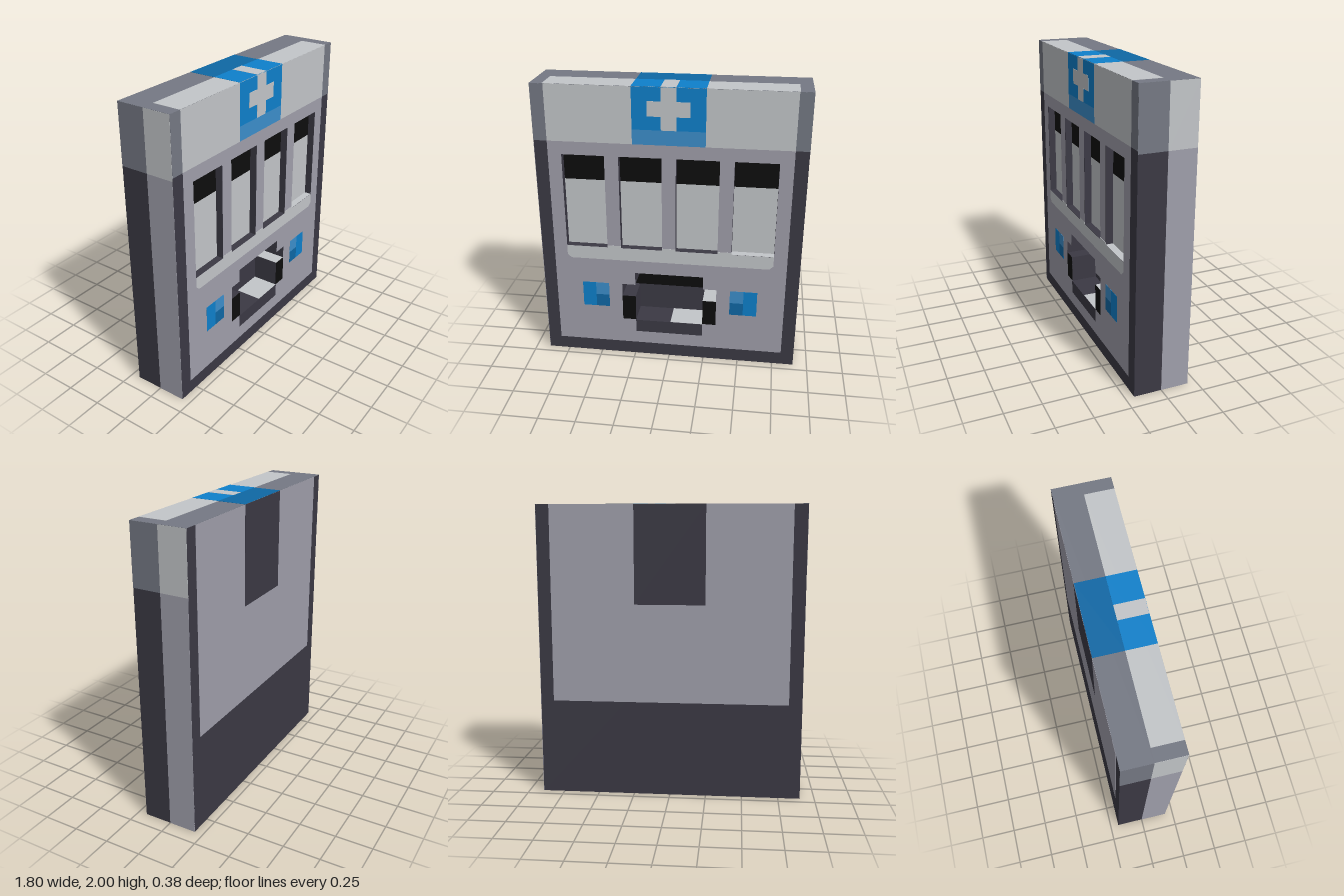
import * as THREE from 'three';

const W = 0.9, H = 2, D = 0.19;

function mat(name, color) {
  const m = new THREE.MeshStandardMaterial({ color });
  m.name = name;
  return m;
}

// closed shape from corner pairs
function poly(points) {
  return new THREE.Shape(points.map(([x, y]) => new THREE.Vector2(x, y)));
}
const rect = (x0, x1, y0, y1) => poly([[x0, y0], [x1, y0], [x1, y1], [x0, y1]]);

export function createModel() {
  const model = new THREE.Group();
  model.name = 'vendingMachine';

  const dark = mat('charcoal', 0x3b3944);
  const slate = mat('slateGrey', 0x757984);
  const grey = mat('panelGrey', 0xa09fab);
  const light = mat('lightGrey', 0xc3c6c9);
  const black = mat('black', 0x0d0d0d);
  const blue = mat('blue', 0x0e80cb);
  const paleBlue = mat('paleBlue', 0x3c8ecb);
  const deepBlue = mat('deepBlue', 0x0f68a5);

  function add(name, geometry, material) {
    const m = new THREE.Mesh(geometry, material);
    m.name = name;
    model.add(m);
    return m;
  }
  function box(name, material, x0, x1, y0, y1, z0, z1) {
    const g = new THREE.BoxGeometry(x1 - x0, y1 - y0, z1 - z0);
    g.translate((x0 + x1) / 2, (y0 + y1) / 2, (z0 + z1) / 2);
    return add(name, g, material);
  }
  // thin painted plates; a higher layer lies further out
  const T = 0.0012;
  const front = (name, m, x0, x1, y0, y1, layer = 1) =>
    box(name, m, x0, x1, y0, y1, D - T, D + T * layer);
  const back = (name, m, x0, x1, y0, y1, layer = 1) =>
    box(name, m, x0, x1, y0, y1, -D - T * layer, -D + T);
  const top = (name, m, x0, x1, z0, z1, layer = 1) =>
    box(name, m, x0, x1, H - T, H + T * layer, z0, z1);
  const side = (name, m, s, y0, y1, z0, z1) =>
    box(name, m, s * W - T, s * W + T, y0, y1, z0, z1);

  // openings in the front half
  const windows = [-0.574, -0.191, 0.191, 0.574].map(x => [x - 0.144, x + 0.144]);
  const wy0 = 0.86, wy1 = 1.53;
  const hatch = [[-0.24, 0.285], [0.24, 0.285], [0.24, 0.48], [0.335, 0.48], [0.335, 0.575],
    [0.24, 0.575], [0.24, 0.67], [-0.24, 0.67], [-0.24, 0.575], [-0.335, 0.575],
    [-0.335, 0.48], [-0.24, 0.48]];
  const cutOpenings = shape => {
    windows.forEach(([a, b]) => shape.holes.push(rect(a, b, wy0, wy1)));
    shape.holes.push(poly(hatch));
    return shape;
  };

  // body: solid back half, pierced front half
  box('backBody', dark, -W, W, 0, H, -D, 0);
  add('frontBody', new THREE.ExtrudeGeometry(cutOpenings(rect(-W, W, 0, H)),
    { depth: D, bevelEnabled: false }), dark);

  // front panel
  const panel = new THREE.ShapeGeometry(cutOpenings(rect(-0.81, 0.81, 0.095, 1.62)));
  panel.translate(0, 0, D + T);
  add('frontPanel', panel, grey);

  // header with sign and cross
  for (const s of [-1, 1]) {
    const inner = s * 0.81, outer = s * W;
    front('headerCorner', slate, Math.min(inner, outer), Math.max(inner, outer), 1.62, H);
    front('header', light, s < 0 ? -0.81 : 0.24, s < 0 ? -0.24 : 0.81, 1.62, H);
  }
  front('signBase', paleBlue, -0.24, 0.24, 1.62, 1.72);
  front('sign', blue, -0.24, 0.24, 1.72, H);
  front('crossUpright', light, -0.05, 0.05, 1.72, H, 2);
  front('crossBar', light, -0.14, 0.14, 1.81, 1.91, 2);

  // recessed windows, light below and black above
  windows.forEach(([a, b], i) => {
    box('windowPane', light, a, b, wy0, 1.34, 0, D - 0.05);
    box('windowTop', black, a, b, 1.34, wy1, 0, D - 0.05);
    if (i === 3) box('windowFloor', light, a, b, wy0 - T, wy0 + T, D - 0.05, D);
    if (i < 3) front('sillGap', light, b, windows[i + 1][0], wy0, 0.875, 2);
  });

  // sill under the windows
  const sill = new THREE.ShapeGeometry(poly([[-0.69, 0.765], [0.69, 0.765], [0.718, 0.79],
    [0.718, wy0], [-0.718, wy0], [-0.718, 0.79]]));
  sill.translate(0, 0, D + 2 * T);
  add('windowSill', sill, light);

  // dispenser hatch
  box('hatchBack', black, -0.335, 0.335, 0.48, 0.67, 0, T);
  box('hatchShelf', light, 0.24, 0.335, 0.48 - T, 0.48 + T, 0, D);
  box('trayFloor', light, 0.01, 0.24, 0.285 - T, 0.285 + T, 0, D);
  for (const s of [-1, 1]) {
    front('hatchFrame', black, s < 0 ? -0.335 : 0.24, s < 0 ? -0.24 : 0.335, 0.29, 0.48, 2);
  }
  front('trayLip', dark, -0.24, 0.24, 0.19, 0.285, 2);

  // buttons in four tones
  for (const s of [-1, 1]) {
    const part = (name, m, a, b, y0, y1) =>
      front(name, m, Math.min(s * a, s * b), Math.max(s * a, s * b), y0, y1, 2);
    part('buttonOuter', blue, 0.525, 0.62, 0.385, 0.575);
    part('buttonInnerTop', paleBlue, 0.43, 0.525, 0.48, 0.575);
    part('buttonInnerBottom', deepBlue, 0.43, 0.525, 0.385, 0.48);
  }

  // top face
  top('topBack', slate, -W, W, -D, 0);
  top('topFront', slate, -W, W, 0, D);
  top('topStrip', light, -0.815, 0.815, 0, D, 2);
  top('topSignBack', deepBlue, -0.24, 0.24, -D, 0, 2);
  top('topSignFront', blue, -0.24, 0.24, 0, D, 3);
  top('topCross', light, -0.05, 0.05, 0, D, 4);

  // sides: one half framed, the other half panelled
  side('rightUpperFrame', slate, 1, 1.6, H, 0, D);
  side('rightUpperPanel', light, 1, 1.6, H, -D, 0);
  side('rightLowerPanel', grey, 1, 0, 1.6, -D, 0);
  side('leftUpperFrame', slate, -1, 1.6, H, -D, 0);
  side('leftUpperPanel', light, -1, 1.6, H, 0, D);
  side('leftLowerPanel', grey, -1, 0, 1.6, 0, D);

  // back panel with its dark notch
  back('backPanel', grey, -0.81, 0.81, 0.66, H);
  back('backNotch', dark, -0.24, 0.24, 1.335, H, 2);

  return model;
}
